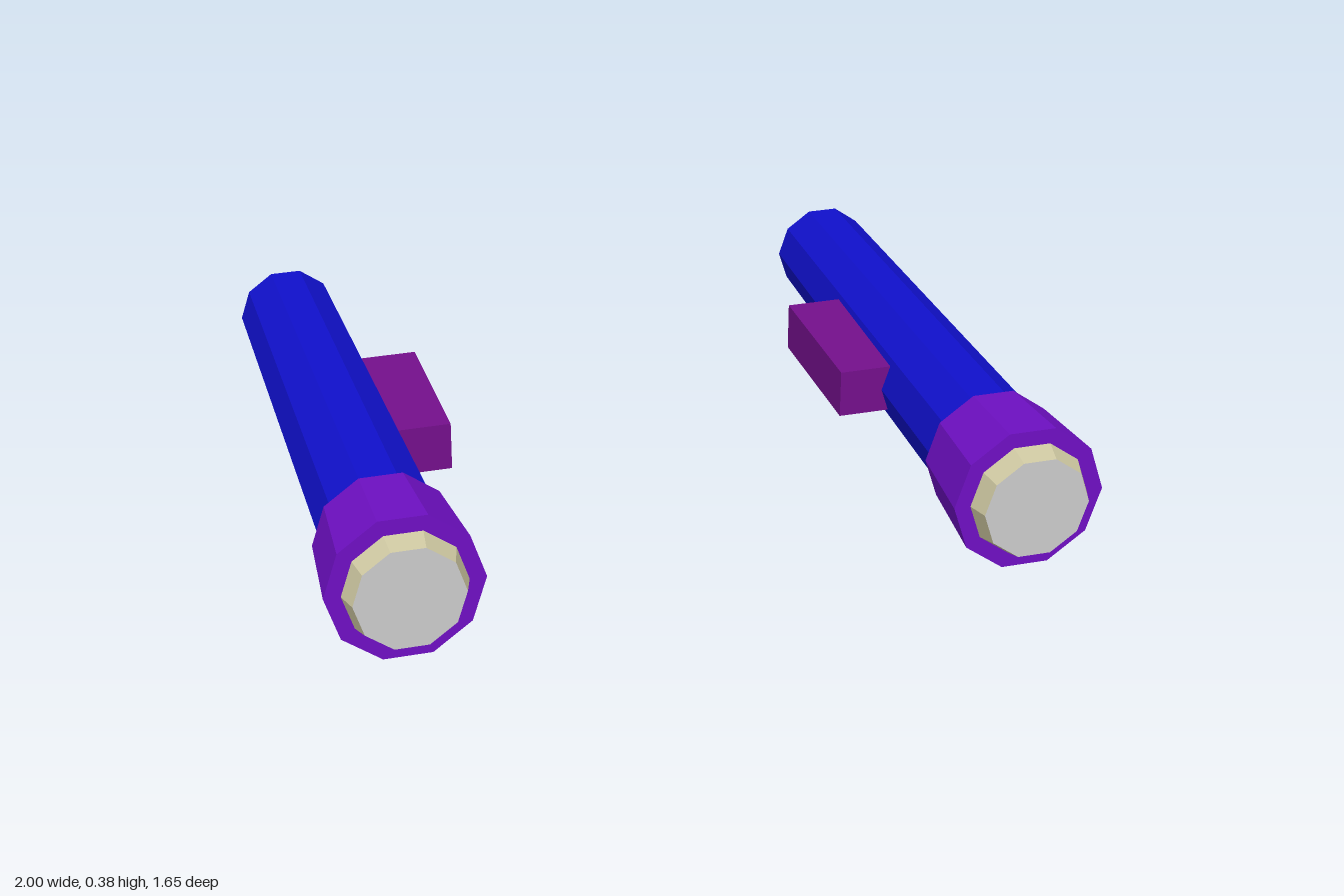
import * as THREE from 'three';

const SIDES = 10;
const AXIS_Y = 0.19;

const paint = (color) => new THREE.MeshStandardMaterial({ color, flatShading: true });

// Tapered ten-sided tube along z, with a corner pointing to each side
function taper(name, rFront, rBack, zFront, zBack, material, open = false) {
  const geo = new THREE.CylinderGeometry(
    rFront, rBack, zFront - zBack, SIDES, 1, open, Math.PI / 2, Math.PI * 2);
  geo.rotateX(Math.PI / 2);
  const mesh = new THREE.Mesh(geo, material);
  mesh.name = name;
  mesh.position.z = (zFront + zBack) / 2;
  return mesh;
}

export function createModel() {
  const blue = paint(0x1010cc);
  const purple = paint(0x6f10c4);
  const plum = paint(0x74108c);
  const khaki = paint(0xccc6a0);
  const grey = paint(0xcccccc);

  const model = new THREE.Group();
  model.name = 'lampPair';

  for (const side of [1, -1]) {
    const lamp = new THREE.Group();
    lamp.name = side > 0 ? 'leftLamp' : 'rightLamp';
    lamp.position.set(side * 0.8, AXIS_Y, 0);

    // Long body and flared head
    lamp.add(taper('body', 0.155, 0.131, 0.51, -0.825, blue));
    lamp.add(taper('head', 0.2, 0.178, 0.77, 0.51, purple));

    // Bevelled lens rim and flat lens
    lamp.add(taper('lensRim', 0.14, 0.157, 0.825, 0.77, khaki, true));
    const lens = new THREE.Mesh(new THREE.CircleGeometry(0.14, SIDES), grey);
    lens.name = 'lens';
    lens.position.z = 0.825;
    lamp.add(lens);

    // Mounting block on the inner side
    const mount = new THREE.Mesh(new THREE.BoxGeometry(0.165, 0.13, 0.44), plum);
    mount.name = 'mount';
    mount.position.set(-side * 0.1825, 0.003, -0.12);
    lamp.add(mount);

    model.add(lamp);
  }
  return model;
}
